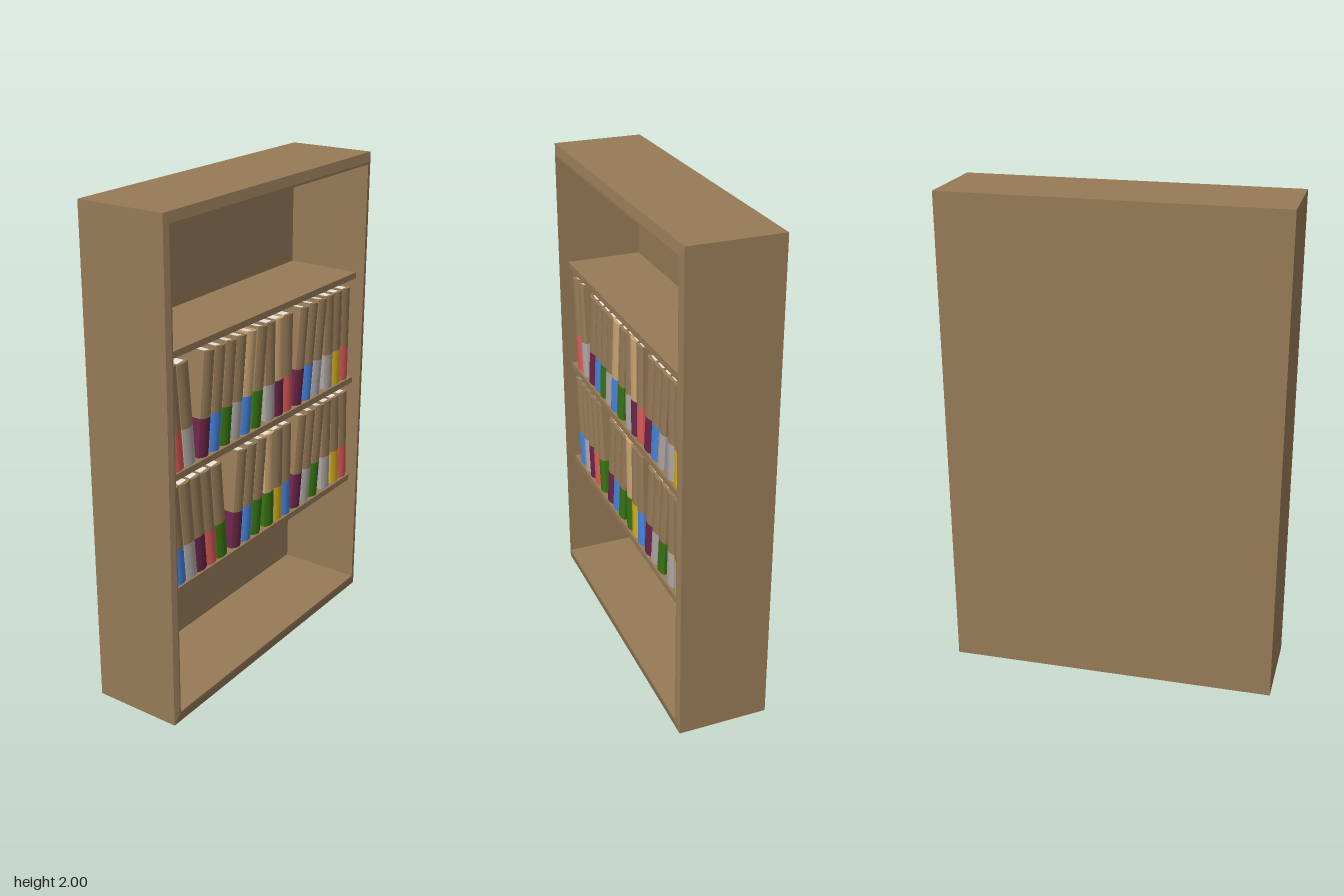
import * as THREE from 'three';

const mat = (name, color) => {
  const m = new THREE.MeshStandardMaterial({ color });
  m.name = name;
  return m;
};

// Hollow case lofted through rectangular rings: [x, half width, bottom, top]
function caseGeometry() {
  const rings = [
    [-0.19, 0.675, 0, 2],
    [0.18, 0.675, 0, 2],
    [0.188, 0.652, 0.04, 1.962],
    [0.188, 0.645, 0.05, 1.953],
    [-0.17, 0.645, 0.05, 1.953],
  ];
  const pos = [], idx = [];
  for (const [x, w, b, t] of rings) pos.push(x, b, w, x, b, -w, x, t, -w, x, t, w);
  const quad = (a, b, c, d) => idx.push(a, b, c, a, c, d);
  for (let r = 0; r < rings.length - 1; r++) {
    for (let k = 0; k < 4; k++) {
      const n = (k + 1) % 4, o = r * 4;
      quad(o + k, o + n, o + 4 + n, o + 4 + k);
    }
  }
  const e = (rings.length - 1) * 4;
  quad(e, e + 1, e + 2, e + 3); // inner back panel
  quad(3, 2, 1, 0); // outer back
  const g = new THREE.BufferGeometry();
  g.setAttribute('position', new THREE.Float32BufferAttribute(pos, 3));
  g.setIndex(idx);
  const flat = g.toNonIndexed();
  flat.computeVertexNormals();
  return flat;
}

// Book cover with a rounded spine facing +x, open at the back edge
function coverGeometry(height, y) {
  const w = 0.0315, t = 0.005, back = -0.1, front = 0.135;
  const s = new THREE.Shape();
  s.moveTo(back, -w);
  s.lineTo(front, -w);
  s.quadraticCurveTo(front + 0.02, 0, front, w);
  s.lineTo(back, w);
  s.lineTo(back, w - t);
  s.lineTo(front - t, w - t);
  s.lineTo(front - t, t - w);
  s.lineTo(back, t - w);
  s.closePath();
  const g = new THREE.ExtrudeGeometry(s, { depth: height, bevelEnabled: false, curveSegments: 6 });
  g.rotateX(-Math.PI / 2);
  g.translate(0, y, 0);
  return g;
}

export function createModel() {
  const model = new THREE.Group();
  model.name = 'bookcase';
  const wood = mat('wood brown', 0x967a57);
  const tan = mat('tan cover', 0xcaa673);
  const paper = mat('paper', 0xe8e4dc);
  const bands = {
    r: mat('red', 0xdb5a55),
    w: mat('grey', 0xaea6a4),
    p: mat('purple', 0x6c2549),
    b: mat('blue', 0x4784de),
    g: mat('green', 0x397412),
    y: mat('yellow', 0xd2ae20),
  };

  const add = (parent, name, geo, material) => {
    const m = new THREE.Mesh(geo, material);
    m.name = name;
    parent.add(m);
    return m;
  };

  add(model, 'case', caseGeometry(), wood);

  // Three shelves
  const shelfGeo = new THREE.BoxGeometry(0.322, 0.026, 1.292);
  for (const top of [0.56, 1.028, 1.497]) {
    add(model, 'shelf', shelfGeo, wood).position.set(-0.011, top - 0.013, 0);
  }

  // Books: [band colour, foot position z, sideways lean of the top in z, tan cover]
  const L = 0.037, R = -0.045;
  const upper = [
    ['r', 0.561, L], ['w', 0.492, L],
    ['p', 0.413, R], ['b', 0.344, R], ['g', 0.275, R],
    ['w', 0.209, R], ['b', 0.143, R, true], ['g', 0.069, R],
    ['w', -0.029, 0], ['p', -0.09, 0, true], ['r', -0.153, 0],
    ['p', -0.228, R], ['b', -0.296, R], ['w', -0.365, R],
    ['w', -0.466, 0], ['y', -0.529, 0], ['r', -0.593, 0],
  ];
  const lower = [
    ['b', 0.561, L], ['w', 0.492, L], ['p', 0.429, L], ['r', 0.365, L], ['g', 0.296, L],
    ['p', 0.206, R], ['b', 0.138, R], ['g', 0.069, R],
    ['g', -0.029, 0, true], ['y', -0.09, 0], ['b', -0.153, 0],
    ['p', -0.228, R], ['w', -0.296, R], ['g', -0.365, R],
    ['w', -0.466, 0], ['y', -0.545, 0.016], ['r', -0.611, 0.016],
  ];
  const bandGeo = coverGeometry(0.152, 0);
  const coverGeo = coverGeometry(0.257, 0.152);
  const pageGeo = new THREE.BoxGeometry(0.22, 0.397, 0.053);
  pageGeo.translate(0.02, 0.2045, 0);

  for (const [row, y, books] of [['upperBooks', 1.03, upper], ['lowerBooks', 0.562, lower]]) {
    const shelfRow = new THREE.Group();
    shelfRow.name = row;
    model.add(shelfRow);
    for (const [band, z, lean, isTan] of books) {
      const book = new THREE.Group();
      book.name = 'book';
      add(book, 'coverBand', bandGeo, bands[band]);
      add(book, 'cover', coverGeo, isTan ? tan : wood);
      add(book, 'pages', pageGeo, paper);
      book.position.set(0, y, z);
      book.rotation.x = Math.asin(lean / 0.409);
      shelfRow.add(book);
    }
  }
  return model;
}
